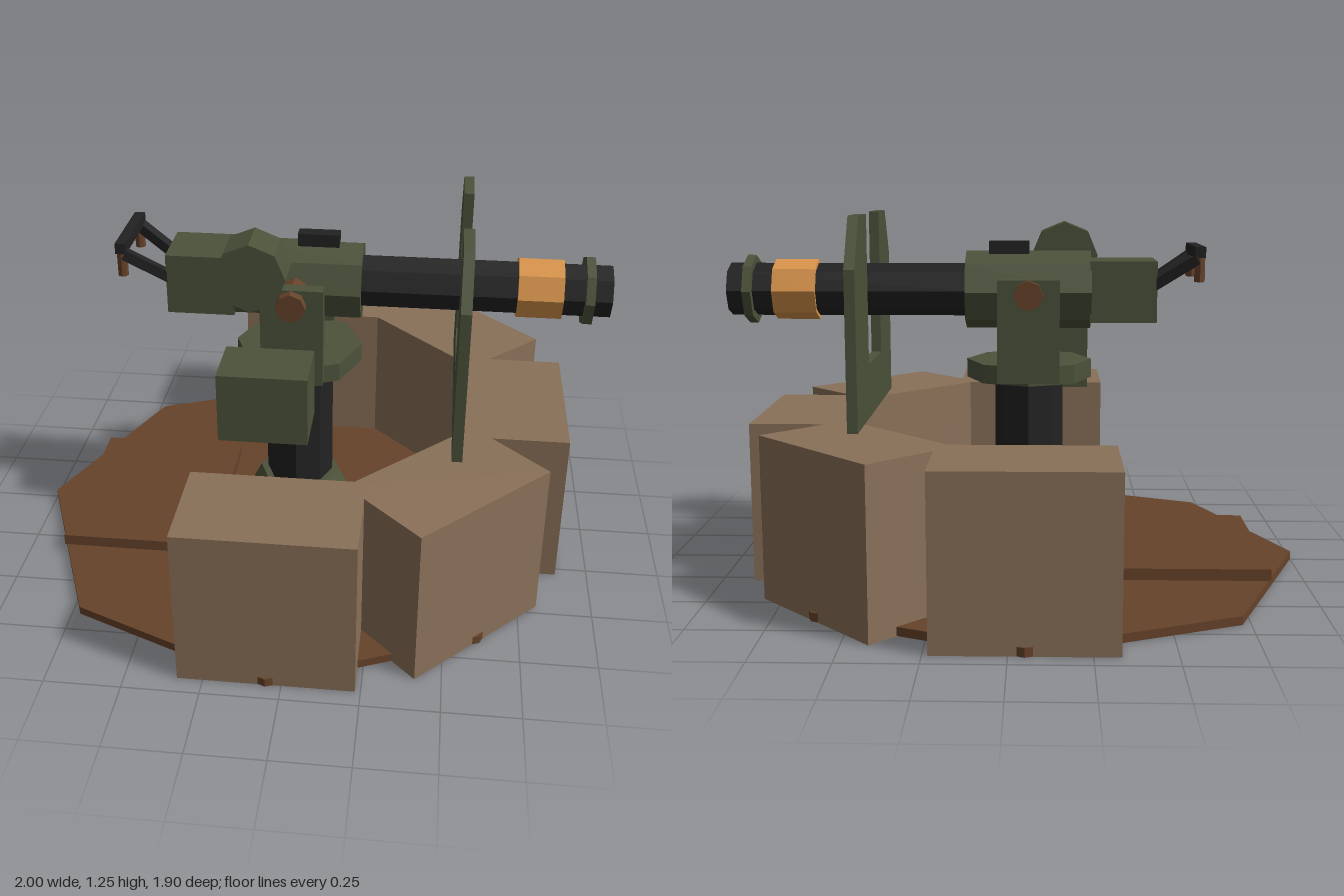
import * as THREE from 'three';

const mat = (name, color) => {
  const m = new THREE.MeshStandardMaterial({ color, flatShading: true });
  m.name = name;
  return m;
};

export function createModel() {
  const root = new THREE.Group();
  root.name = 'gunEmplacement';
  const green = mat('olive green', 0x4c523a);
  const black = mat('gun black', 0x222223);
  const sand = mat('sandbag tan', 0x8a7159);
  const brown = mat('earth brown', 0x67432a);
  const bronze = mat('bronze', 0xd9944a);
  const PX = -0.05; // x of the pivot axis
  const GY = 0.98;  // height of the bore

  const add = (name, geo, material, x, y, z, parent = root) => {
    const m = new THREE.Mesh(geo, material);
    m.name = name;
    m.position.set(x, y, z);
    parent.add(m);
    return m;
  };
  // box given by its extents
  const box = (name, material, x0, x1, y0, y1, z0, z1) =>
    add(name, new THREE.BoxGeometry(x1 - x0, y1 - y0, z1 - z0), material,
      (x0 + x1) / 2, (y0 + y1) / 2, (z0 + z1) / 2);
  // eight-sided prisms: upright, along the bore, across the gun
  const upright = (name, material, rTop, rBottom, y0, y1) =>
    add(name, new THREE.CylinderGeometry(rTop, rBottom, y1 - y0, 8), material, PX, (y0 + y1) / 2, 0);
  const along = (name, material, r, x0, x1) =>
    add(name, new THREE.CylinderGeometry(r, r, x1 - x0, 8).rotateZ(-Math.PI / 2), material, (x0 + x1) / 2, GY, 0);
  const across = (name, material, r, x, y, z0, z1) =>
    add(name, new THREE.CylinderGeometry(r, r, z1 - z0, 8).rotateX(Math.PI / 2), material, x, y, (z0 + z1) / 2);

  // ground platform and rear step
  upright('platform', brown, 0.95, 0.95, 0.001, 0.03);
  box('rearStep', brown, -0.87, -0.33, 0.03, 0.07, -0.335, 0.335);

  // ring of five wall blocks, open at the rear
  const wall = new THREE.Group();
  wall.name = 'sandbagWall';
  wall.position.x = PX;
  root.add(wall);
  for (let i = -2; i <= 2; i++) {
    const a = i * Math.PI / 4;
    const block = add('wallBlock', new THREE.BoxGeometry(0.35, 0.55, 0.565), sand,
      Math.cos(a) * 0.765, 0.275, Math.sin(a) * 0.765, wall);
    block.rotation.y = -a;
  }

  // pedestal and yoke
  upright('pedestalFoot', green, 0.145, 0.235, 0.03, 0.21);
  upright('pedestalColumn', black, 0.12, 0.12, 0.2, 0.68);
  upright('yokeBase', green, 0.22, 0.22, 0.67, 0.735);
  for (const s of [-1, 1]) {
    const z = s * 0.195;
    box('yokeArm', green, -0.155, 0.055, 0.68, 1.03, z - 0.025, z + 0.025);
  }
  across('trunnion', brown, 0.05, PX, GY, -0.255, 0.255);

  // gun body
  along('receiver', green, 0.136, -0.265, 0.17);
  box('breech', green, -0.49, -0.26, 0.875, 1.085, -0.105, 0.105);
  box('rearSight', black, -0.05, 0.09, 1.09, 1.15, -0.025, 0.025);
  along('barrel', black, 0.092, 0.15, 1);
  along('barrelBand', bronze, 0.106, 0.69, 0.84);
  along('muzzleRing', green, 0.12, 0.91, 0.94);

  // feed drum and ammunition box on the left side
  across('feedDrum', green, 0.118, -0.177, 1.092, 0.13, 0.28);
  box('ammunitionBox', green, -0.265, 0.03, 0.59, 0.83, 0.25, 0.455);

  // spade handles
  box('handleBar', black, -0.648, -0.612, 1.1, 1.137, -0.145, 0.145);
  for (const s of [-1, 1]) {
    const from = new THREE.Vector3(-0.48, 1.0, s * 0.085);
    const to = new THREE.Vector3(-0.625, 1.095, s * 0.125);
    const arm = add('handleArm', new THREE.BoxGeometry(0.035, 0.035, from.distanceTo(to)), black, 0, 0, 0);
    arm.position.copy(from).lerp(to, 0.5);
    arm.lookAt(to);
    add('handleGrip', new THREE.CylinderGeometry(0.018, 0.018, 0.09, 8), brown, -0.63, 1.063, s * 0.125);
  }

  // notched shield with clipped top corners
  const outline = [[-0.44, 0.55], [0.44, 0.55], [0.44, 1.08], [0.33, 1.247], [0.157, 1.247], [0.157, 0.735],
    [-0.157, 0.735], [-0.157, 1.247], [-0.33, 1.247], [-0.44, 1.08]];
  const shape = new THREE.Shape(outline.map(([u, v]) => new THREE.Vector2(u, v)));
  const shield = new THREE.ExtrudeGeometry(shape, { depth: 0.035, bevelEnabled: false }).rotateY(Math.PI / 2);
  add('shield', shield, green, 0.498, 0, 0);

  return root;
}
